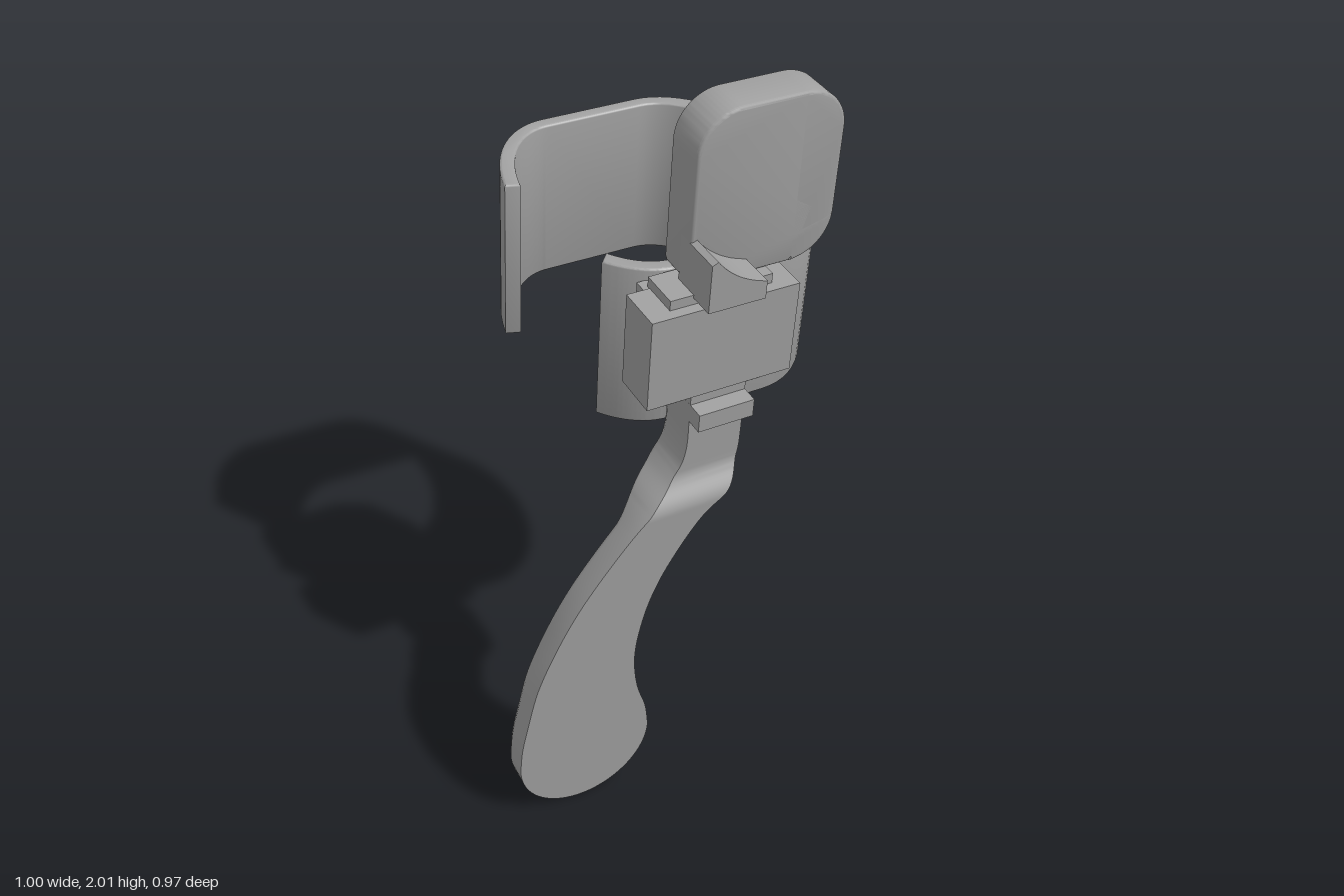
import * as THREE from 'three';
import { toCreasedNormals } from 'three/addons/utils/BufferGeometryUtils.js';

export function createModel() {
  const model = new THREE.Group();
  const tilted = new THREE.Group(); // everything leans forward by five degrees
  tilted.name = 'tiltedAssembly';
  tilted.rotation.x = 0.087;
  model.add(tilted);
  const grey = new THREE.MeshStandardMaterial({ color: 0xa0a0a0 });
  grey.name = 'grey';

  const add = (name, geometry) => {
    const mesh = new THREE.Mesh(geometry, grey);
    mesh.name = name;
    tilted.add(mesh);
    return mesh;
  };
  // box given by its limits
  const box = (name, x0, x1, y0, y1, z0, z1) =>
    add(name, new THREE.BoxGeometry(x1 - x0, y1 - y0, z1 - z0))
      .position.set((x0 + x1) / 2, (y0 + y1) / 2, (z0 + z1) / 2);
  const extrude = (shape, depth, bevel) => {
    const g = new THREE.ExtrudeGeometry(shape, {
      depth: depth - 2 * bevel, curveSegments: 16, bevelEnabled: bevel > 0,
      bevelSize: bevel, bevelThickness: bevel, bevelOffset: -bevel, bevelSegments: 3,
    });
    g.translate(0, 0, bevel);
    return toCreasedNormals(g, 0.6);
  };

  // open wrist band: half ellipses joined by flat front and back
  const arc = (cx, a, b, from, to) => Array.from({ length: 33 }, (_, i) => {
    const t = THREE.MathUtils.degToRad(from + (to - from) * i / 32);
    return new THREE.Vector2(cx + a * Math.cos(t), 0.21 - b * Math.sin(t));
  });
  const bandSide = (aLeft, aRight, b) => [
    ...arc(-0.02, aLeft, b, 197.3, 270),
    ...arc(0.25, aRight, b, -90, 90),
    ...arc(-0.02, aLeft, b, 90, 131.4),
  ];
  const bandShape = new THREE.Shape([
    ...bandSide(0.235, 0.25, 0.372), ...bandSide(0.195, 0.197, 0.333).reverse(),
  ]);
  const band = extrude(bandShape, 0.455, 0.006);
  band.rotateX(-Math.PI / 2);
  add('wristBand', band).position.y = 1.136;

  // sleeve on the band with the slider through it
  box('sleeveNeck', -0.12, 0.18, 1.3, 1.56, 0.14, 0.2);
  box('sleeve', -0.165, 0.225, 1.311, 1.562, 0.175, 0.3);
  box('slider', -0.105, 0.165, 1.284, 1.588, 0.165, 0.272);

  // rounded head plate
  const x0 = -0.045, x1 = 0.335, y0 = 1.588, y1 = 2.029, r = 0.11;
  const head = new THREE.Shape();
  head.moveTo(x0 + r, y0);
  head.lineTo(x1 - r, y0);
  head.quadraticCurveTo(x1 - r * 0.2, y0 + r * 0.2, x1, y0 + r);
  head.absarc(x1 - r, y0 + r, r, -Math.PI / 2, 0, false);
  head.curves.splice(1, 1); // keep the true round corner only
  head.lineTo(x1, y1 - r);
  head.absarc(x1 - r, y1 - r, r, 0, Math.PI / 2, false);
  head.lineTo(x0 + r, y1);
  head.absarc(x0 + r, y1 - r, r, Math.PI / 2, Math.PI, false);
  head.lineTo(x0, y0 + 0.03);
  head.quadraticCurveTo(x0, y0, x0 + 0.03, y0);
  add('headPlate', extrude(head, 0.114, 0.008)).position.z = 0.13;

  // curved hook and lower stop tab on the front
  const hook = new THREE.Shape();
  hook.moveTo(-0.045, 1.58);
  hook.lineTo(0.105, 1.58);
  hook.lineTo(0.105, 1.628);
  hook.quadraticCurveTo(0.02, 1.65, -0.03, 1.716);
  hook.lineTo(-0.045, 1.708);
  add('hook', extrude(hook, 0.14, 0)).position.z = 0.2;
  box('stopTab', -0.045, 0.105, 1.235, 1.285, 0.2, 0.341);

  // curved handle: horizontal sections (left edge, height, right edge)
  const rows = [];
  for (let i = 0; i < 16; i++) {
    const t = (Math.PI / 2) * (1 - i / 16);
    rows.push([-0.315 - 0.19 * Math.cos(t), 0.225 - 0.195 * Math.sin(t), -0.315 + 0.19 * Math.cos(t)]);
  }
  const edges = new THREE.CatmullRomCurve3([
    [-0.505, 0.225, -0.125], [-0.5, 0.3, -0.136], [-0.482, 0.4, -0.166], [-0.455, 0.52, -0.179],
    [-0.4, 0.655, -0.16], [-0.35, 0.75, -0.13], [-0.29, 0.84, -0.085], [-0.2, 0.955, -0.005],
    [-0.145, 1.01, 0.065], [-0.09, 1.055, 0.093], [-0.058, 1.1, 0.103], [-0.046, 1.15, 0.105],
    [-0.045, 1.25, 0.105], [-0.045, 1.42, 0.105],
  ].map(p => new THREE.Vector3(...p)));
  edges.getPoints(80).forEach(p => rows.push([p.x, p.y, p.z]));
  const step = THREE.MathUtils.smoothstep;
  const positions = [], index = [], n = 8;
  rows.forEach(([l, y, rt], j) => {
    const front = 0.339 - 0.043 * step(y, 0.99, 1.08);
    const back = 0.257 - 0.084 * step(y, 0.93, 1.08);
    const f = Math.min(0.018, (rt - l) / 2), k = f * 0.3;
    [[l, front], [rt, front], [rt, back + f], [rt - k, back + k], [rt - f, back],
      [l + f, back], [l + k, back + k], [l, back + f]].forEach(([x, z]) => positions.push(x, y, z));
    if (j === 0) return;
    for (let i = 0; i < n; i++) {
      const a = (j - 1) * n + i, b = (j - 1) * n + (i + 1) % n;
      index.push(a, b, b + n, a, b + n, a + n);
    }
  });
  const handle = new THREE.BufferGeometry();
  handle.setAttribute('position', new THREE.Float32BufferAttribute(positions, 3));
  handle.setIndex(index);
  add('handle', toCreasedNormals(handle, 0.9));

  // round pad on the back of the handle
  const pad = new THREE.CylinderGeometry(0.152, 0.152, 0.02, 48);
  pad.rotateX(Math.PI / 2);
  add('handlePad', pad).position.set(-0.312, 0.222, 0.256);

  return model;
}
